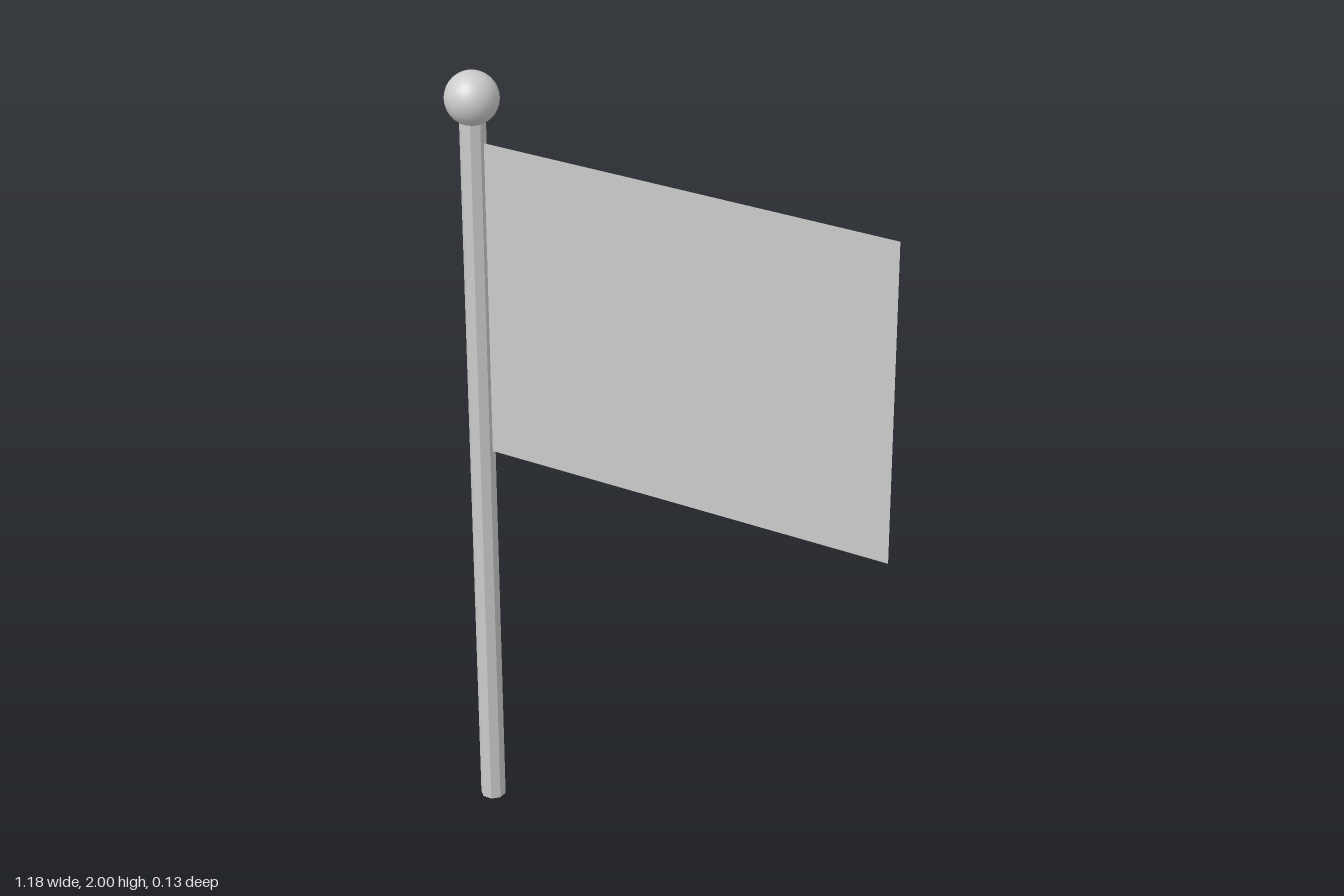
import * as THREE from 'three';

const POLE_X = -0.523;

export function createModel() {
  const group = new THREE.Group();

  const add = (name, geometry, x, y, options = {}) => {
    const material = new THREE.MeshStandardMaterial({ color: 0xcccccc, ...options });
    const mesh = new THREE.Mesh(geometry, material);
    mesh.name = name;
    mesh.position.set(x, y, 0);
    group.add(mesh);
  };

  // Eight-sided pole, turned so that flat sides face the four axes
  const poleHeight = 1.9;
  const poleGeometry = new THREE.CylinderGeometry(0.032, 0.032, poleHeight, 8);
  poleGeometry.rotateY(Math.PI / 8);
  add('pole', poleGeometry, POLE_X, poleHeight / 2, { flatShading: true });

  // Round ball on top of the pole
  add('finial', new THREE.SphereGeometry(0.065, 32, 16), POLE_X, 1.935);

  // Thin flat flag, attached to the pole's left side
  const left = POLE_X + 0.029, right = 0.588, bottom = 1.015, top = 1.828;
  add('flag', new THREE.PlaneGeometry(right - left, top - bottom),
    (left + right) / 2, (bottom + top) / 2, { side: THREE.DoubleSide });

  return group;
}
